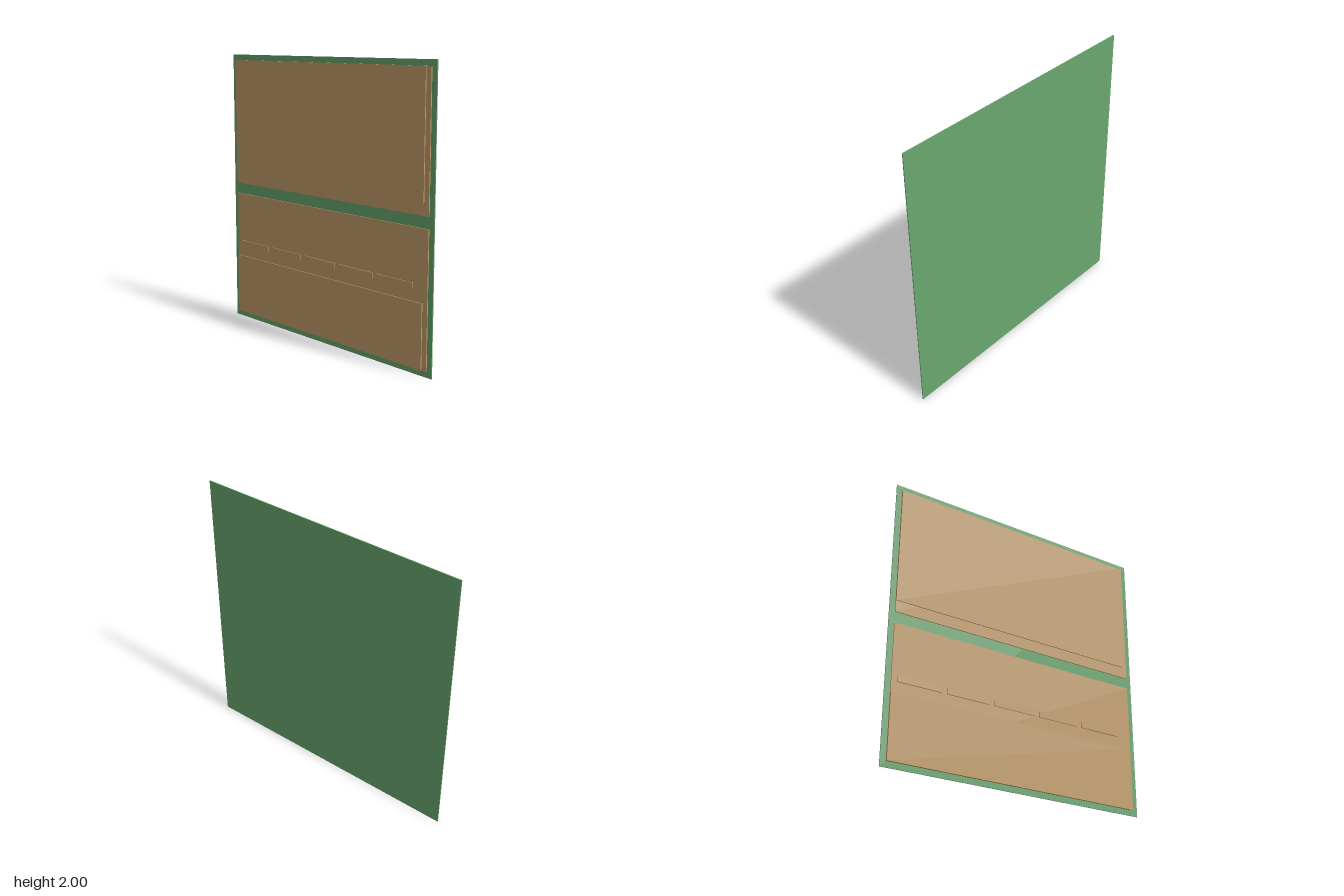
import * as THREE from 'three';

const green = new THREE.MeshStandardMaterial({ color: 0x6aa870 });
const tan = new THREE.MeshStandardMaterial({ color: 0xc49f6c });

// Box given by its limits on each axis
function slab(name, material, [x0, x1], [y0, y1], [z0, z1]) {
  const mesh = new THREE.Mesh(new THREE.BoxGeometry(x1 - x0, y1 - y0, z1 - z0), material);
  mesh.position.set((x0 + x1) / 2, (y0 + y1) / 2, (z0 + z1) / 2);
  mesh.name = name;
  return mesh;
}

export function createModel() {
  const group = new THREE.Group();
  group.name = 'layeredBoard';
  const back = [-0.01, -0.0035], middle = [-0.0035, 0.0035], front = [0.0035, 0.01];

  // Backing board
  group.add(slab('backingBoard', green, [-1, 1], [0, 2], back));

  // Two base panels
  group.add(slab('upperPanel', tan, [-0.96, 0.96], [1.04, 1.96], middle));
  group.add(slab('lowerPanel', tan, [-0.96, 0.96], [0.04, 0.96], middle));

  // Raised sheets on the panels
  group.add(slab('upperRaisedSheet', tan, [-0.96, 0.92], [1.12, 1.96], front));
  group.add(slab('lowerRaisedSheet', tan, [-0.96, 0.92], [0.04, 0.48], front));

  // Row of raised strips
  for (let i = 0; i < 5; i++) {
    const x = -0.92 + i * 0.36;
    group.add(slab('raisedStrip' + (i + 1), tan, [x, x + 0.32], [0.56, 0.6], front));
  }
  return group;
}
